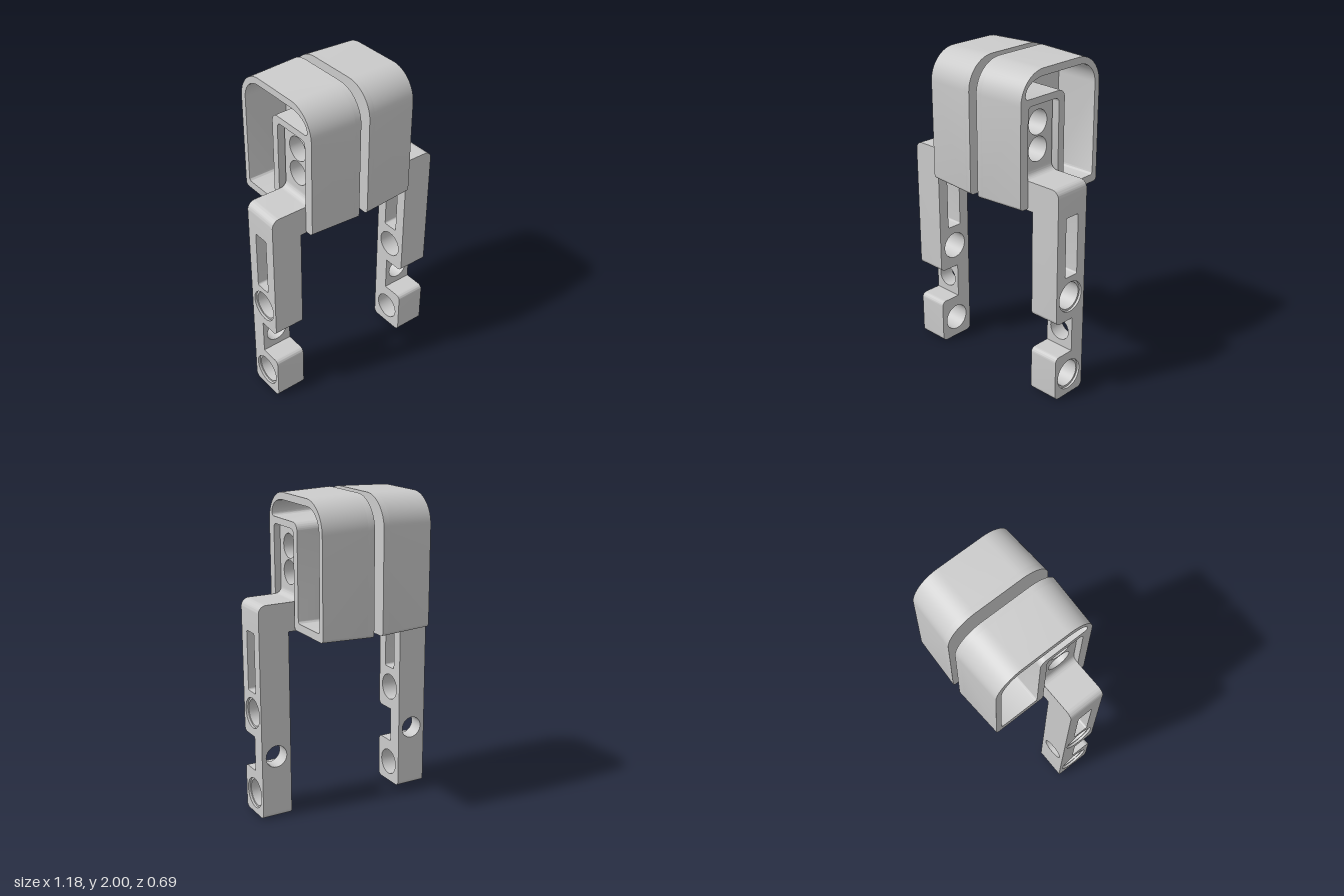
import * as THREE from 'three';
import { toCreasedNormals } from 'three/addons/utils/BufferGeometryUtils.js';

const material = new THREE.MeshStandardMaterial({ color: 0xcccccc });

// Closed outline from right-angled corners [x, y, radius before, radius after]
function outline(points, Type = THREE.Shape) {
  const path = new Type();
  const n = points.length, K = 0.5523;
  points.forEach(([x, y, r1 = 0, r2 = r1], i) => {
    const c = new THREE.Vector2(x, y);
    const p = points[(i + n - 1) % n], q = points[(i + 1) % n];
    const d1 = new THREE.Vector2(p[0], p[1]).sub(c).normalize();
    const d2 = new THREE.Vector2(q[0], q[1]).sub(c).normalize();
    const a = c.clone().addScaledVector(d1, r1);
    if (i === 0) path.moveTo(a.x, a.y); else path.lineTo(a.x, a.y);
    if (r1 > 0) {
      const h1 = c.clone().addScaledVector(d1, r1 * (1 - K));
      const h2 = c.clone().addScaledVector(d2, r2 * (1 - K));
      const b = c.clone().addScaledVector(d2, r2);
      path.bezierCurveTo(h1.x, h1.y, h2.x, h2.y, b.x, b.y);
    }
  });
  path.closePath();
  return path;
}

const circle = (x, y, r) => new THREE.Path().absarc(x, y, r, 0, Math.PI * 2, true);
const hexagon = (x, y, r) => new THREE.Path().setFromPoints(
  Array.from({ length: 7 }, (_, i) => new THREE.Vector2(
    x + r * Math.cos(i * Math.PI / 3), y + r * Math.sin(i * Math.PI / 3))));

function extrude(points, holes, from, to) {
  const shape = outline(points);
  shape.holes.push(...holes);
  const geometry = new THREE.ExtrudeGeometry(shape, { depth: to - from, bevelEnabled: false, curveSegments: 16 });
  return geometry.translate(0, 0, from);
}

// Side profile in (-z, y), extruded along x
const alongX = (points, holes, from, to) => extrude(points, holes, from, to).rotateY(Math.PI / 2);

// Jaw sides lean inward towards the open outer face
function draft(geometry) {
  const p = geometry.attributes.position;
  for (let i = 0; i < p.count; i++) {
    const t = (p.getX(i) - 0.03) / 0.33;
    p.setZ(i, p.getZ(i) * (1 - 0.042 * t));
    p.setY(i, 1.59 + (p.getY(i) - 1.59) * (1 - 0.025 * t));
  }
  return geometry;
}

// Mirrored copy across x = 0, with the corner order restored
function mirror(geometry) {
  const g = geometry.clone().scale(-1, 1, 1);
  for (const attribute of Object.values(g.attributes)) {
    const { array, itemSize: s } = attribute;
    for (let i = 0; i < array.length; i += 3 * s) {
      for (let k = 0; k < s; k++) {
        [array[i + s + k], array[i + 2 * s + k]] = [array[i + 2 * s + k], array[i + s + k]];
      }
    }
  }
  return g;
}

export function createModel() {
  const model = new THREE.Group();
  model.name = 'gripper';
  const left = new THREE.Group();
  const right = new THREE.Group();
  left.name = 'leftFinger';
  right.name = 'rightFinger';
  model.add(left, right);

  const add = (name, geometry) => {
    const g = toCreasedNormals(geometry, 0.5);
    for (const [group, geo] of [[left, g], [right, mirror(g)]]) {
      const mesh = new THREE.Mesh(geo, material);
      mesh.name = name;
      group.add(mesh);
    }
  };

  // Jaw: closed inner pad, then walls around an L-shaped pocket and a slot for the arm
  const jawTop = [[0.345, 1.18, 0.025], [0.345, 2, 0.19], [-0.345, 2, 0.19]];
  add('jawPad', draft(alongX([[-0.345, 1.18, 0.025], ...jawTop], [], 0.03, 0.07)));
  const pocket = outline([
    [-0.305, 1.84, 0.02], [0.03, 1.84, 0.05], [0.03, 1.23, 0.02],
    [0.305, 1.23, 0.02], [0.305, 1.955, 0.14], [-0.305, 1.955, 0.15, 0.09],
  ], THREE.Path);
  add('jawWalls', draft(alongX([
    [-0.345, 1.18, 0.025], [-0.283, 1.18, 0.01], [-0.283, 1.797, 0.03],
    [-0.02, 1.797, 0.03], [-0.02, 1.18, 0.02], ...jawTop,
  ], [pocket], 0.07, 0.36)));

  // Mounting plate in the jaw slot, with two deep screw holes and hex sockets
  const plate = [[-0.27, 1.41], [-0.03, 1.41], [-0.03, 1.79, 0.03], [-0.27, 1.79, 0.03]];
  const screws = [1.51, 1.67];
  add('plateBase', alongX(plate, screws.map((y) => hexagon(-0.15, y, 0.038)), 0.07, 0.14));
  add('mountingPlate', alongX(plate, screws.map((y) => circle(-0.15, y, 0.075)), 0.14, 0.32));

  // Elbow from the plate out to the leg
  add('elbow', extrude([
    [0.07, 1.18], [0.59, 1.18], [0.59, 1.36, 0.05],
    [0.32, 1.36, 0.04], [0.32, 1.41], [0.07, 1.41],
  ], [], 0.03, 0.27));

  // Leg: slotted upper part and foot, each with a cross hole that steps wider outside
  const slot = outline([[-0.2, 0.8, 0.01], [-0.1, 0.8, 0.01], [-0.1, 1.178, 0.01], [-0.2, 1.178, 0.01]], THREE.Path);
  const upper = [[-0.27, 0.515, 0.03], [-0.03, 0.515], [-0.03, 1.18], [-0.27, 1.18]];
  const foot = [[-0.27, 0, 0.03], [-0.03, 0, 0.03], [-0.03, 0.29], [-0.27, 0.29, 0.03]];
  for (const [from, to, radius] of [[0.395, 0.575, 0.085], [0.575, 0.59, 0.097]]) {
    add('upperLeg', alongX(upper, [slot, circle(-0.15, 0.665, radius)], from, to));
    add('foot', alongX(foot, [circle(-0.15, 0.135, radius)], from, to));
  }

  // Thin neck behind the notch, bored front to back
  add('neck', extrude([[0.395, 0.29], [0.59, 0.29], [0.59, 0.515], [0.395, 0.515]],
    [circle(0.493, 0.402, 0.07)], 0.03, 0.13));

  return model;
}
